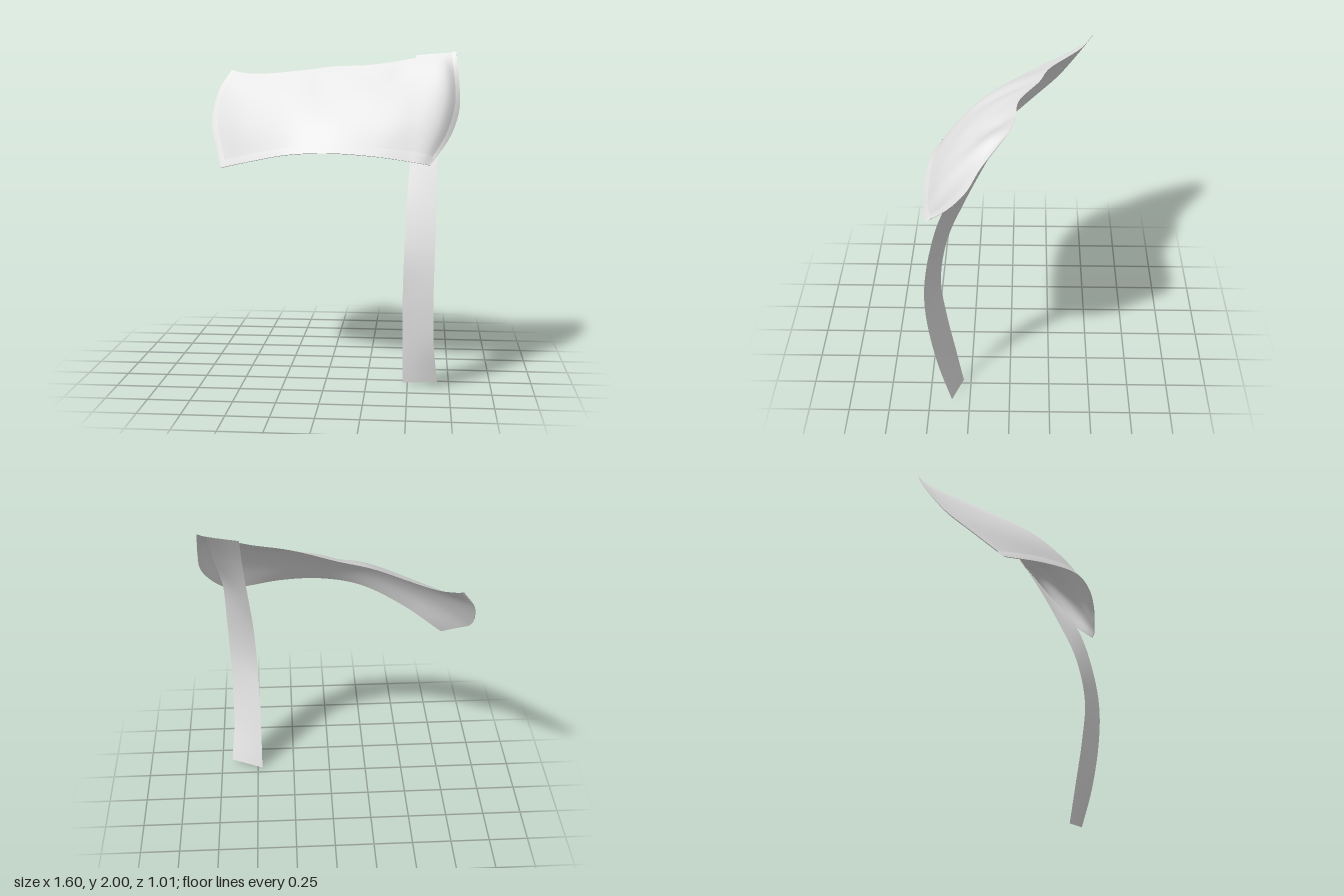
import * as THREE from 'three';
import { toCreasedNormals } from 'three/addons/utils/BufferGeometryUtils.js';

const V = (p) => new THREE.Vector3(...p);
const spline = (pts) => new THREE.CatmullRomCurve3(pts, false, 'centripetal');

// Cross-sections of the draped panel, from its right end to its left, each top to bottom
const sections = [
  [[-0.70, 1.88, -0.51], [-0.775, 1.75, -0.45], [-0.797, 1.54, -0.30], [-0.745, 1.42, -0.15], [-0.68, 1.28, 0.03]],
  [[-0.57, 1.86, -0.44], [-0.56, 1.763, -0.238], [-0.533, 1.646, -0.052], [-0.50, 1.506, 0.116], [-0.45, 1.345, 0.26]],
  [[-0.24, 1.88, -0.23], [-0.243, 1.80, -0.038], [-0.237, 1.70, 0.145], [-0.218, 1.558, 0.302], [-0.20, 1.40, 0.42]],
  [[0.00, 1.91, -0.16], [0.00, 1.832, 0.032], [0.01, 1.72, 0.207], [0.02, 1.58, 0.36], [0.05, 1.415, 0.485]],
  [[0.24, 1.92, -0.05], [0.26, 1.828, 0.108], [0.28, 1.733, 0.26], [0.29, 1.583, 0.39], [0.30, 1.40, 0.50]],
  [[0.50, 1.96, -0.03], [0.50, 1.877, 0.10], [0.50, 1.77, 0.25], [0.49, 1.60, 0.385], [0.48, 1.375, 0.49]],
  [[0.685, 1.99, -0.005], [0.70, 1.905, 0.135], [0.705, 1.755, 0.26], [0.665, 1.57, 0.378], [0.57, 1.36, 0.485]],
  [[0.773, 2.00, 0.01], [0.788, 1.81, 0.145], [0.787, 1.66, 0.225], [0.735, 1.51, 0.335], [0.62, 1.35, 0.47]],
].map((s) => spline(s.map(V)));

// Soft dents and swells in the cloth: u, v, width in u, width in v, depth
const folds = [
  [0.40, 0.28, 0.05, 0.20, -0.014],
  [0.24, 0.16, 0.04, 0.12, -0.008],
  [0.68, 0.20, 0.05, 0.16, -0.014],
  [0.55, 0.40, 0.06, 0.20, 0.006],
];

// Point on the panel: u runs along it, v runs down it
function panelPoint(u, v) {
  const p = spline(sections.map((s) => s.getPoint(v))).getPoint(u);
  for (const [fu, fv, wu, wv, d] of folds) {
    const k = d * Math.exp(-(((u - fu) / wu) ** 2) - ((v - fv) / wv) ** 2);
    p.y += k * 0.75;
    p.z += k * 0.65;
  }
  return p;
}

// Point lifted off the panel along its outward normal
function liftedPoint(u, v, lift) {
  const e = 0.01;
  const a = Math.min(u + e, 1), b = Math.max(u - e, 0);
  const c = Math.min(v + e, 1), d = Math.max(v - e, 0);
  const du = panelPoint(a, v).sub(panelPoint(b, v));
  const dv = panelPoint(u, c).sub(panelPoint(u, d));
  return panelPoint(u, v).addScaledVector(dv.cross(du).normalize(), lift);
}

// Grid of faces over fn(i, j), counted in steps
function sheet(fn, ni, nj) {
  const pos = [], index = [];
  for (let i = 0; i <= ni; i++) {
    for (let j = 0; j <= nj; j++) {
      pos.push(...fn(i, j).toArray());
      if (i < ni && j < nj) {
        const a = i * (nj + 1) + j, b = a + nj + 1;
        index.push(a, a + 1, b, b, a + 1, b + 1);
      }
    }
  }
  const g = new THREE.BufferGeometry();
  g.setAttribute('position', new THREE.Float32BufferAttribute(pos, 3));
  g.setIndex(index);
  g.computeVertexNormals();
  return g;
}

export function createModel() {
  const group = new THREE.Group();
  const cloth = new THREE.MeshStandardMaterial({ color: 0xe7e7e7, side: THREE.DoubleSide });
  cloth.name = 'pale grey cloth';
  const add = (name, geometry) => {
    const mesh = new THREE.Mesh(geometry, cloth);
    mesh.name = name;
    group.add(mesh);
  };

  // Draped panel
  add('panel', sheet((i, j) => panelPoint(i / 56, j / 20), 56, 20));

  // Flat hem sewn on the outer face: distance in from the edge, and lift
  const fold = [[1, 0.001], [0.6, 0.004], [0, 0.005], [0, 0]];
  const hem = (name, n, place) => add(name, toCreasedNormals(
    sheet((i, j) => liftedPoint(...place(i / n, fold[j][0]), fold[j][1]), n, fold.length - 1), 0.7));
  hem('bottomHem', 56, (s, w) => [s, 1 - 0.065 * w]);
  hem('rightHem', 20, (s, w) => [0.022 * w, s * 0.95]);
  hem('leftHem', 20, (s, w) => [1 - 0.045 * w, s * 0.95]);

  // Long hanging strap, swept between its two edges
  const inner = spline([
    [0.53, 1.98, -0.035], [0.525, 1.74, 0.10], [0.505, 1.40, 0.26], [0.487, 1.13, 0.365],
    [0.475, 0.82, 0.415], [0.468, 0.55, 0.39], [0.468, 0.25, 0.34], [0.47, 0.0, 0.297],
  ].map(V));
  const outer = spline([
    [0.725, 1.995, -0.005], [0.70, 1.75, 0.165], [0.665, 1.45, 0.365], [0.66, 1.16, 0.456],
    [0.655, 0.86, 0.50], [0.65, 0.60, 0.49], [0.655, 0.28, 0.435], [0.68, 0.03, 0.36],
  ].map(V));
  add('strap', sheet((i, j) => inner.getPoint(j / 42).lerp(outer.getPoint(j / 42), i / 4), 4, 42));

  return group;
}
